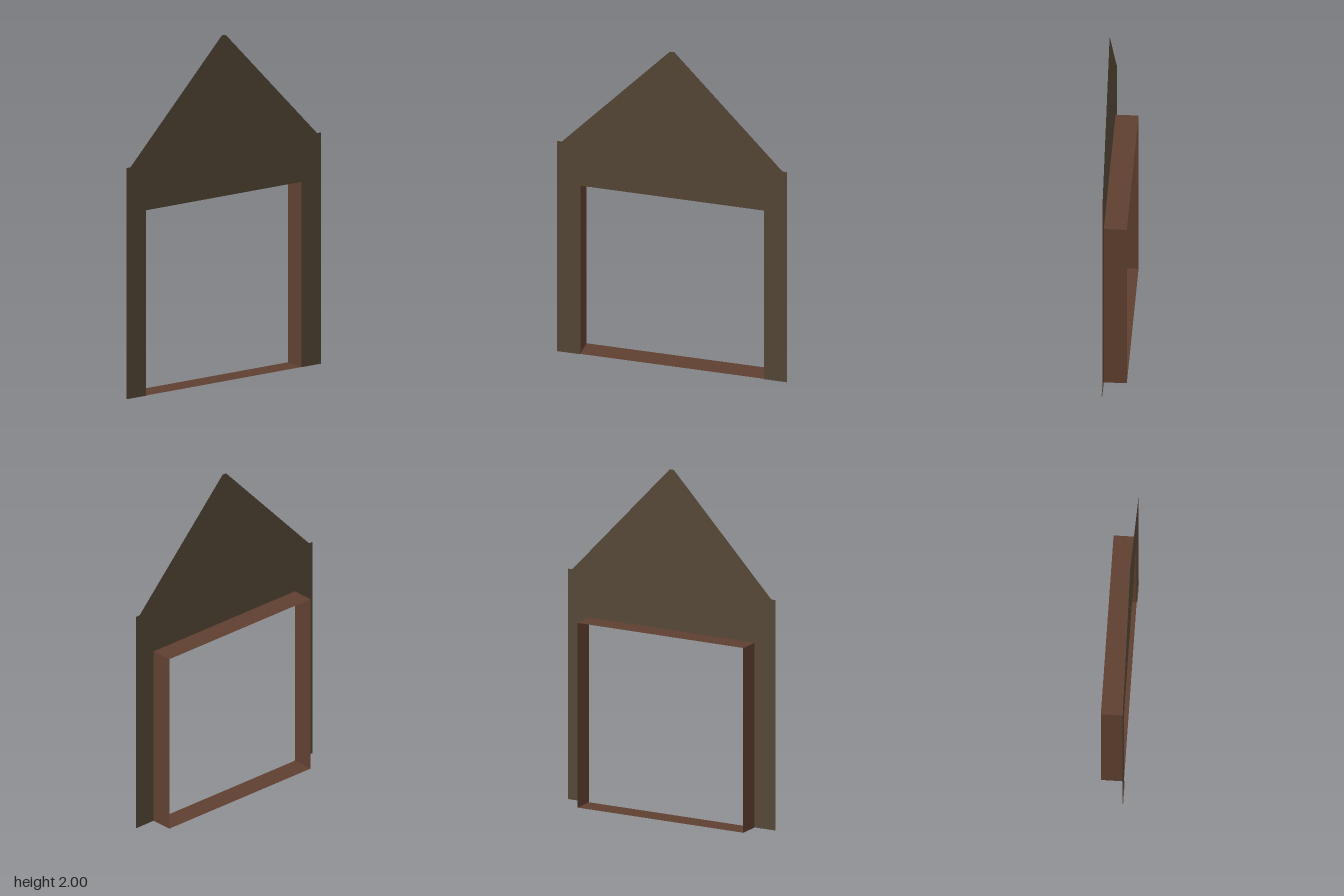
import * as THREE from 'three';

export function createModel() {
  const group = new THREE.Group();
  const stone = new THREE.MeshStandardMaterial({ color: 0x574939, side: THREE.DoubleSide });
  const wood = new THREE.MeshStandardMaterial({ color: 0x5f4030, side: THREE.DoubleSide });

  const back = -0.067, wallZ = 0.062, front = 0.067;
  const halfW = 0.667, halfOpen = 0.533, openH = 1.07;

  function add(name, geometry, material, x, y, z) {
    const mesh = new THREE.Mesh(geometry, material);
    mesh.name = name;
    mesh.position.set(x, y, z);
    group.add(mesh);
  }

  // Thin gabled wall with small shoulders, cut out around the doorway
  const half = [[halfOpen, openH], [halfOpen, 0], [halfW, 0], [halfW, 1.335], [0.64, 1.335], [0.013, 2]];
  const mirrored = half.map(([x, y]) => [-x, y]).reverse();
  const outline = [...half, ...mirrored].map(([x, y]) => new THREE.Vector2(x, y));
  add('gableWall', new THREE.ShapeGeometry(new THREE.Shape(outline)), stone, 0, 0, wallZ);

  // Thin boards lining the doorway
  const depth = wallZ - back, midZ = (wallZ + back) / 2;
  const flat = (w, d) => new THREE.PlaneGeometry(w, d).rotateX(-Math.PI / 2);
  add('threshold', flat(2 * halfOpen, depth), wood, 0, 0, midZ);
  add('lintel', flat(2 * halfOpen, depth), wood, 0, openH, midZ);

  for (const [side, s] of [['left', 1], ['right', -1]]) {
    const jamb = new THREE.PlaneGeometry(depth, openH).rotateY(s * Math.PI / 2);
    add(side + 'Jamb', jamb, wood, s * halfOpen, openH / 2, midZ);
    // Narrow lip at the foot of each wall leg
    const lip = flat(halfW - halfOpen, front - wallZ);
    add(side + 'FootLip', lip, stone, s * (halfW + halfOpen) / 2, 0, (front + wallZ) / 2);
  }
  return group;
}
